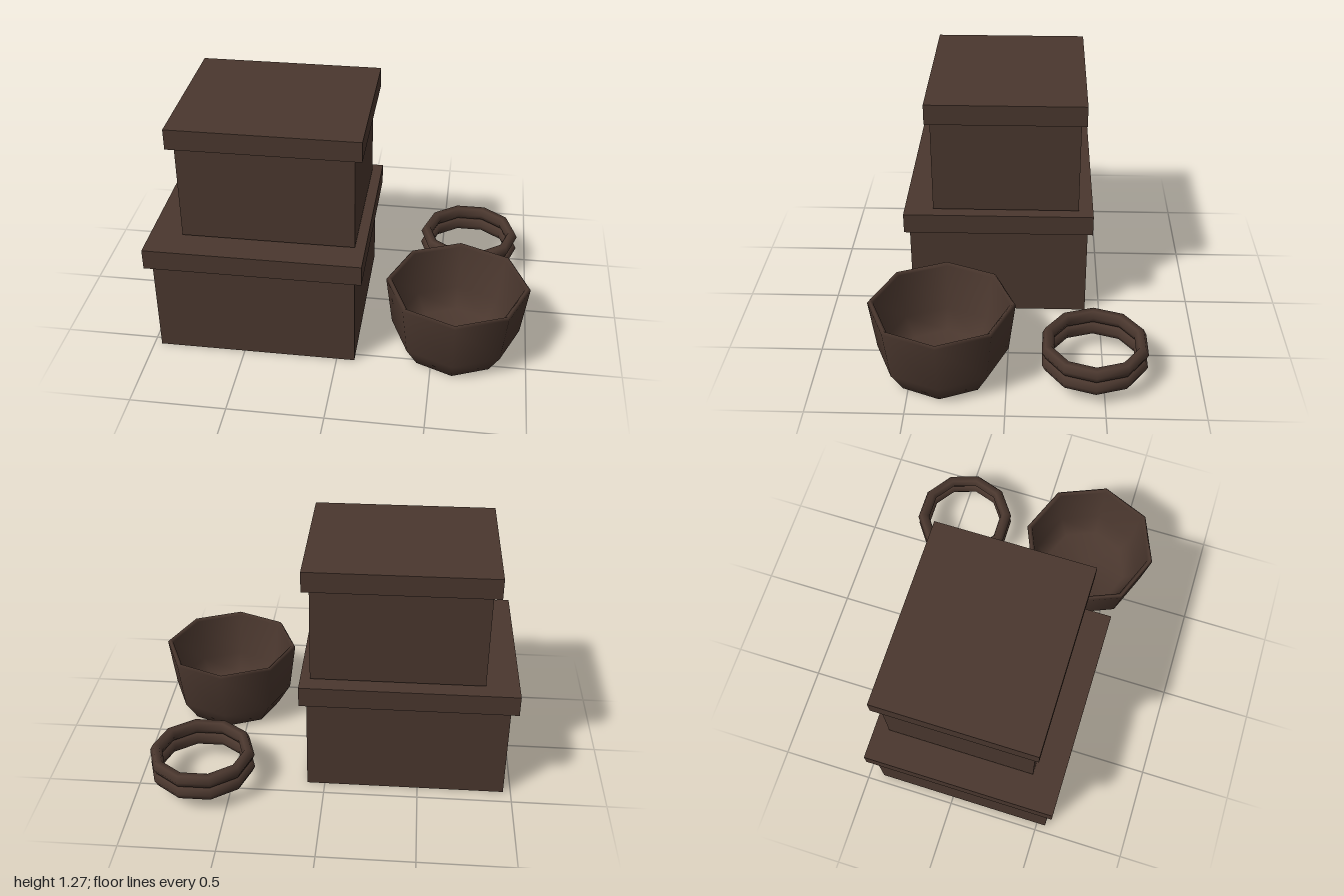
import * as THREE from 'three';

const brown = new THREE.MeshStandardMaterial({ color: 0x4a372e });
brown.name = 'darkBrown';

// Box given by its limits on each axis
function block(name, [x0, x1], [y0, y1], [z0, z1]) {
  const mesh = new THREE.Mesh(new THREE.BoxGeometry(x1 - x0, y1 - y0, z1 - z0), brown);
  mesh.position.set((x0 + x1) / 2, (y0 + y1) / 2, (z0 + z1) / 2);
  mesh.name = name;
  return mesh;
}

export function createModel() {
  const group = new THREE.Group();
  group.name = 'boxesBowlAndRings';

  // Two stacked boxes with overhanging lids
  group.add(
    block('lowerBox', [-0.96, 0.095], [0, 0.52], [-0.42, 0.548]),
    block('lowerLid', [-1, 0.133], [0.52, 0.63], [-0.447, 0.575]),
    block('upperBox', [-0.825, 0.08], [0.64, 1.16], [-0.368, 0.418]),
    block('upperLid', [-0.865, 0.118], [1.16, 1.27], [-0.396, 0.444]),
  );

  // Eight-sided bowl: outer wall, rim, then the hollow inside
  const profile = [
    [0, 0], [0.27, 0], [0.342, 0.12], [0.378, 0.395], [0.365, 0.41],
    [0.348, 0.395], [0.31, 0.15], [0.24, 0.05], [0, 0.035],
  ].map(([r, y]) => new THREE.Vector2(r, y));
  const bowl = new THREE.Mesh(new THREE.LatheGeometry(profile, 8), brown);
  bowl.position.set(0.615, 0, 0.335);
  bowl.name = 'bowl';
  group.add(bowl);

  // Pair of ten-sided rings, one above the other
  const ringGeometry = new THREE.TorusGeometry(0.25, 0.033, 6, 10);
  ringGeometry.rotateX(Math.PI / 2);
  ringGeometry.scale(1, 1.19, 1);
  [['lowerRing', 0.115], ['upperRing', 0.192]].forEach(([name, y]) => {
    const ring = new THREE.Mesh(ringGeometry, brown);
    ring.position.set(0.656, y, -0.45);
    ring.name = name;
    group.add(ring);
  });

  return group;
}
